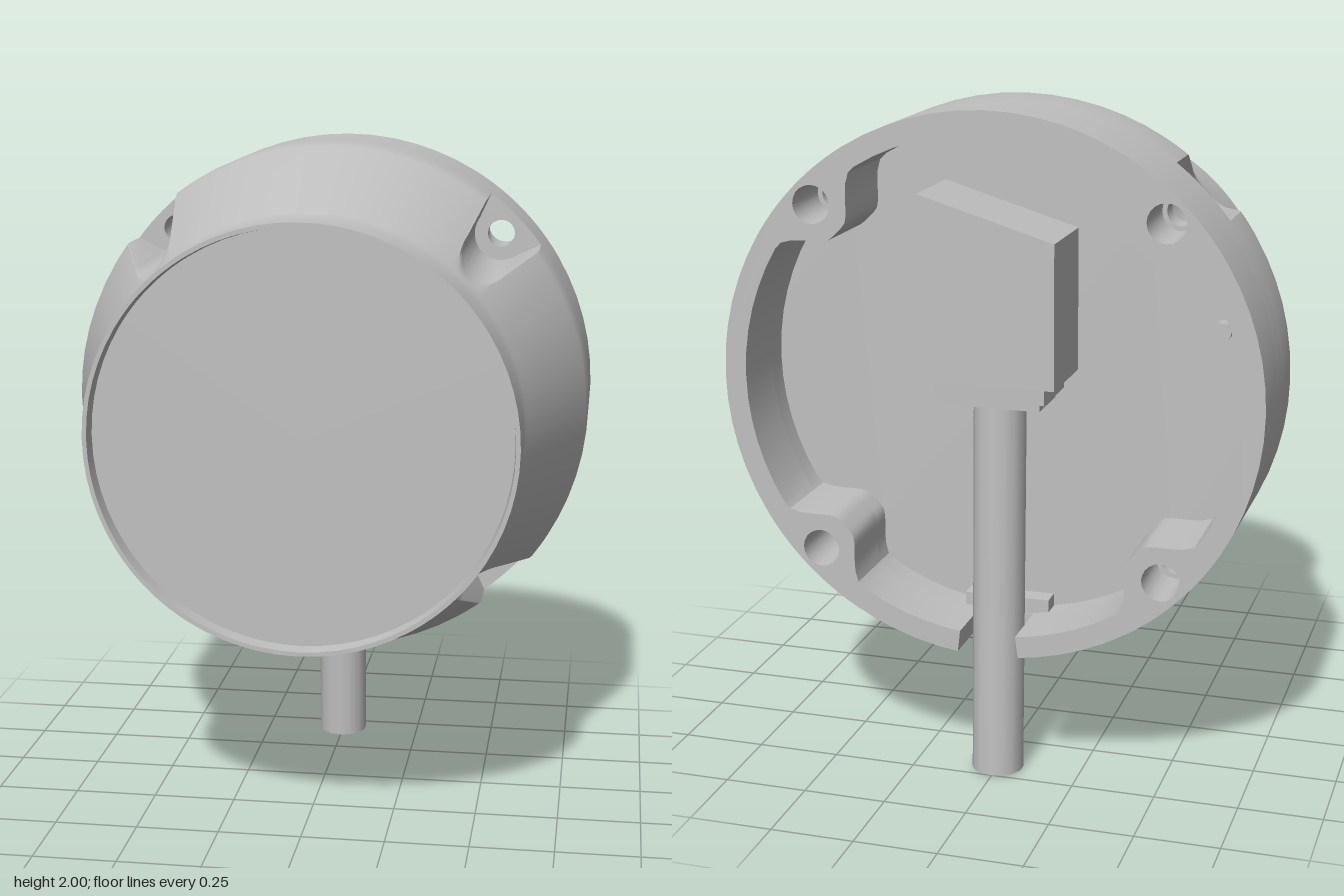
import * as THREE from 'three';
import { toCreasedNormals } from 'three/addons/utils/BufferGeometryUtils.js';

const AXIS_Y = 1.2, R = 0.8, NECK = 0.627;
const BACK = -0.53, NOTCH = -0.34, FLOOR = -0.27, FRONT = 0.53;
const CONE_A = -0.11, CONE_B = 0.37;          // start and end of the conical part
const SCREW_R = 0.728;                        // distance of the screws from the axis

// Angles measured from each diagonal, denser around the screw pockets
const half = [0.03, 0.06, 0.085, 0.1, 0.11, 0.114, 0.139, 0.17, 0.205, 0.24, 0.33, 0.42, 0.51, 0.6, 0.69];
const offsets = [...half.map(a => -a).reverse(), 0, ...half, Math.PI / 4];
const angles = [];
for (let q = 0; q < 4; q++) {
  for (const o of offsets) angles.push({ a: Math.PI / 4 + q * Math.PI / 2 + o, o: Math.abs(o) });
}

// Radius of the pocket wall: half a circle that flares out to the rim
function pocketRadius(o) {
  if (o >= 0.139) return R;
  const s = SCREW_R * Math.sin(o);
  return SCREW_R * Math.cos(o) - Math.sqrt(Math.max(0, 0.083 ** 2 - s * s));
}

// Inner radius of the back rim, bulging inward at the screw bosses
const bossRadius = o => 0.735 - 0.115 * (1 - THREE.MathUtils.smoothstep(o, 0.04, 0.23));

const coneRadius = z => R - (R - NECK) * (z - CONE_A) / (CONE_B - CONE_A);
const coneZ = r => CONE_A + (R - r) / (R - NECK) * (CONE_B - CONE_A);
const polar = (r, a) => new THREE.Vector2(r * Math.cos(a), r * Math.sin(a));

// Outer shell with four tapering pockets, lip and inside of the lip
function shellGeometry() {
  const columns = angles.map(({ a, o }) => {
    const r = pocketRadius(o), z = coneZ(r);
    return [
      [r, FLOOR], [r, z - 0.02], [coneRadius(z + 0.02), z + 0.02],
      [coneRadius(0.345), 0.345], [NECK, 0.39], [NECK, FRONT], [0.614, FRONT], [0.61, 0.48],
    ].map(([rad, zz]) => [rad * Math.cos(a), rad * Math.sin(a), zz]);
  });
  const n = columns.length, m = columns[0].length, index = [];
  for (let j = 0; j < n; j++) {
    for (let i = 0; i < m - 1; i++) {
      const p = j * m + i, q = ((j + 1) % n) * m + i;
      index.push(p, q, p + 1, q, q + 1, p + 1);
    }
  }
  const g = new THREE.BufferGeometry();
  g.setAttribute('position', new THREE.Float32BufferAttribute(columns.flat(2), 3));
  g.setIndex(index);
  return toCreasedNormals(g, 0.5);
}

function addScrewHoles(shape, radius) {
  for (let q = 0; q < 4; q++) {
    const c = polar(SCREW_R, Math.PI / 4 + q * Math.PI / 2);
    shape.holes.push(new THREE.Path().absarc(c.x, c.y, radius, 0, Math.PI * 2, true));
  }
  return shape;
}

function extrude(shape, z0, z1) {
  const g = new THREE.ExtrudeGeometry(shape, { depth: z1 - z0, bevelEnabled: false, curveSegments: 10 });
  g.translate(0, 0, z0);
  return toCreasedNormals(g, 0.5);
}

const innerLoop = () => angles.map(({ a, o }) => polar(bossRadius(o), a));

// Closed ring next to the pocket floors
function fullRing() {
  const shape = new THREE.Shape(angles.map(({ a }) => polar(R, a)));
  shape.holes.push(new THREE.Path(innerLoop().reverse()));
  return extrude(addScrewHoles(shape, 0.042), NOTCH, FLOOR);
}

// Ring at the back, open at the bottom for the cable
function notchedRing() {
  const gap = 0.115, start = -Math.PI / 2 + gap, end = Math.PI * 1.5 - gap;
  const list = angles
    .map(({ a, o }) => ({ a: a > Math.PI * 1.5 ? a - Math.PI * 2 : a, o }))
    .filter(({ a }) => a > start && a < end)
    .sort((p, q) => p.a - q.a);
  list.unshift({ a: start, o: 0.6 });
  list.push({ a: end, o: 0.6 });
  const outer = list.map(({ a }) => polar(R, a));
  const inner = list.map(({ a, o }) => polar(bossRadius(o), a)).reverse();
  return extrude(addScrewHoles(new THREE.Shape([...outer, ...inner]), 0.056), BACK, NOTCH);
}

// Connector block whose top slopes down towards -x
function blockGeometry() {
  const shape = new THREE.Shape([
    new THREE.Vector2(-0.2, 0.02), new THREE.Vector2(0.2, 0.02),
    new THREE.Vector2(0.2, 0.56), new THREE.Vector2(-0.2, 0.44),
  ]);
  return extrude(shape, -0.527, FLOOR);
}

export function createModel() {
  const grey = new THREE.MeshStandardMaterial({ color: 0xc0c0c0 });
  const greySheet = new THREE.MeshStandardMaterial({ color: 0xc0c0c0, side: THREE.DoubleSide });
  grey.name = 'grey';
  greySheet.name = 'grey sheet';

  const model = new THREE.Group();
  model.name = 'roundHousing';
  const housing = new THREE.Group();
  housing.name = 'housing';
  housing.position.y = AXIS_Y;
  model.add(housing);

  const add = (name, geometry, x = 0, y = 0, z = 0, material = grey) => {
    const mesh = new THREE.Mesh(geometry, material);
    mesh.name = name;
    mesh.position.set(x, y, z);
    housing.add(mesh);
    return mesh;
  };

  add('outerShell', shellGeometry());
  add('pocketRing', fullRing());
  add('backRim', notchedRing());
  add('frontDisc', new THREE.CircleGeometry(0.612, 64), 0, 0, 0.482);
  add('backPlate', new THREE.ShapeGeometry(new THREE.Shape(innerLoop())), 0, 0, FLOOR - 0.002, greySheet);

  // Connector and cable
  add('connectorBlock', blockGeometry());
  add('connectorCollar', new THREE.BoxGeometry(0.33, 0.05, 0.21), 0, -0.005, -0.4);
  add('connectorFoot', new THREE.BoxGeometry(0.29, 0.03, 0.17), 0, -0.04, -0.4);
  const cable = add('cable', new THREE.CylinderGeometry(0.077, 0.077, 1.165, 14), 0, -0.614, -0.413);
  cable.rotation.x = 0.038;

  // Small details inside the back
  add('cableLedge', new THREE.BoxGeometry(0.26, 0.05, 0.06), 0, -0.71, -0.305);
  const peg = add('peg', new THREE.CylinderGeometry(0.028, 0.028, 0.05, 14), -0.63, 0.17, -0.29);
  peg.rotation.x = Math.PI / 2;

  return model;
}
